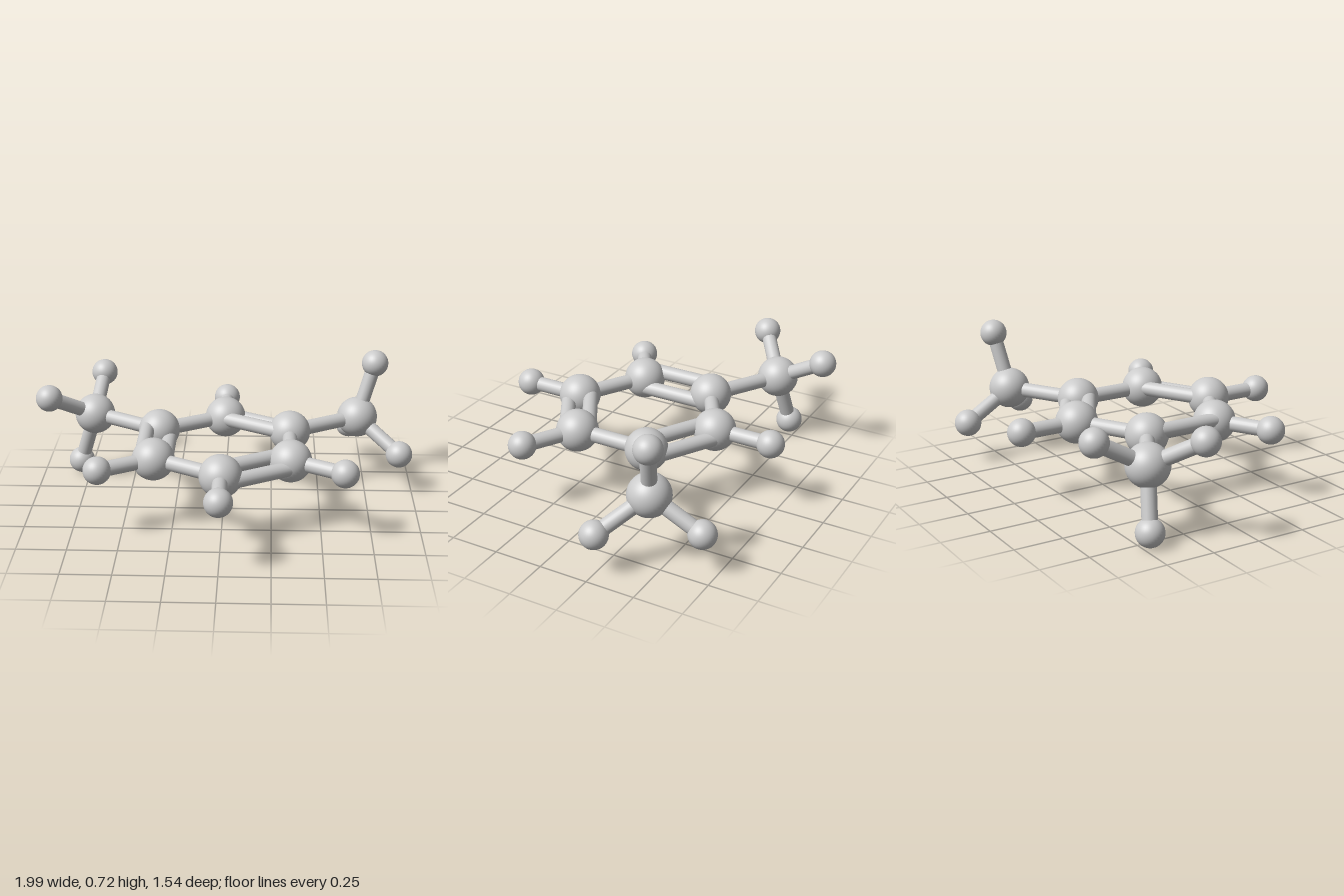
import * as THREE from 'three';

const MID = 0.365; // height of the ring plane
const BIG = 0.107, SMALL = 0.07, ROD = 0.038;

export function createModel() {
  const model = new THREE.Group();
  model.name = 'ballAndStickRing';
  const material = new THREE.MeshStandardMaterial({ color: 0xcccccc });
  const bigBall = new THREE.SphereGeometry(BIG, 40, 28);
  const smallBall = new THREE.SphereGeometry(SMALL, 32, 22);
  const up = new THREE.Vector3(0, 1, 0);

  function ball(name, geometry, position) {
    const mesh = new THREE.Mesh(geometry, material);
    mesh.name = name;
    mesh.position.copy(position);
    model.add(mesh);
    return position;
  }

  // Straight rod between two points, optionally shifted sideways
  function rod(name, a, b, shift = new THREE.Vector3()) {
    const along = b.clone().sub(a);
    const mesh = new THREE.Mesh(new THREE.CylinderGeometry(ROD, ROD, along.length(), 24), material);
    mesh.name = name;
    mesh.position.copy(a).add(b).multiplyScalar(0.5).add(shift);
    mesh.quaternion.setFromUnitVectors(up, along.normalize());
    model.add(mesh);
  }

  // Pair of parallel rods, slightly tilted out of the ring plane
  function doubleRod(a, b) {
    const along = b.clone().sub(a).normalize();
    const shift = along.cross(new THREE.Vector3(0.45, 1, 0)).multiplyScalar(0.057);
    rod('doubleRod', a, b, shift);
    rod('doubleRod', a, b, shift.clone().negate());
  }

  // Six ring balls, starting at the front and going round through +x
  const spoke = (i, r) => new THREE.Vector3(
    r * Math.sin(i * Math.PI / 3), MID, r * Math.cos(i * Math.PI / 3));
  const ring = [];
  for (let i = 0; i < 6; i++) ring.push(ball('ringBall', bigBall, spoke(i, 0.395)));

  // Ring rods alternate between double and single
  for (let i = 0; i < 6; i++) {
    const a = ring[i], b = ring[(i + 1) % 6];
    if (i % 2 === 0) doubleRod(a, b);
    else rod('ringRod', a, b);
  }

  // Small balls around the ring
  for (const i of [0, 1, 3, 5]) {
    rod('outerRod', ring[i], ball('outerBall', smallBall, spoke(i, 0.7)));
  }

  // Side arms with three small balls each; one arm is the other half-turned about z
  const tips = [[0.795, 0.29, -0.46], [0.925, -0.147, -0.25], [0.68, -0.147, -0.68]];
  for (const s of [1, -1]) {
    const hub = ball('armBall', bigBall, new THREE.Vector3(s * 0.707, MID, -0.418));
    rod('armRod', ring[s > 0 ? 2 : 4], hub);
    for (const [x, y, z] of tips) {
      rod('tipRod', hub, ball('tipBall', smallBall, new THREE.Vector3(s * x, MID + s * y, z)));
    }
  }
  return model;
}
